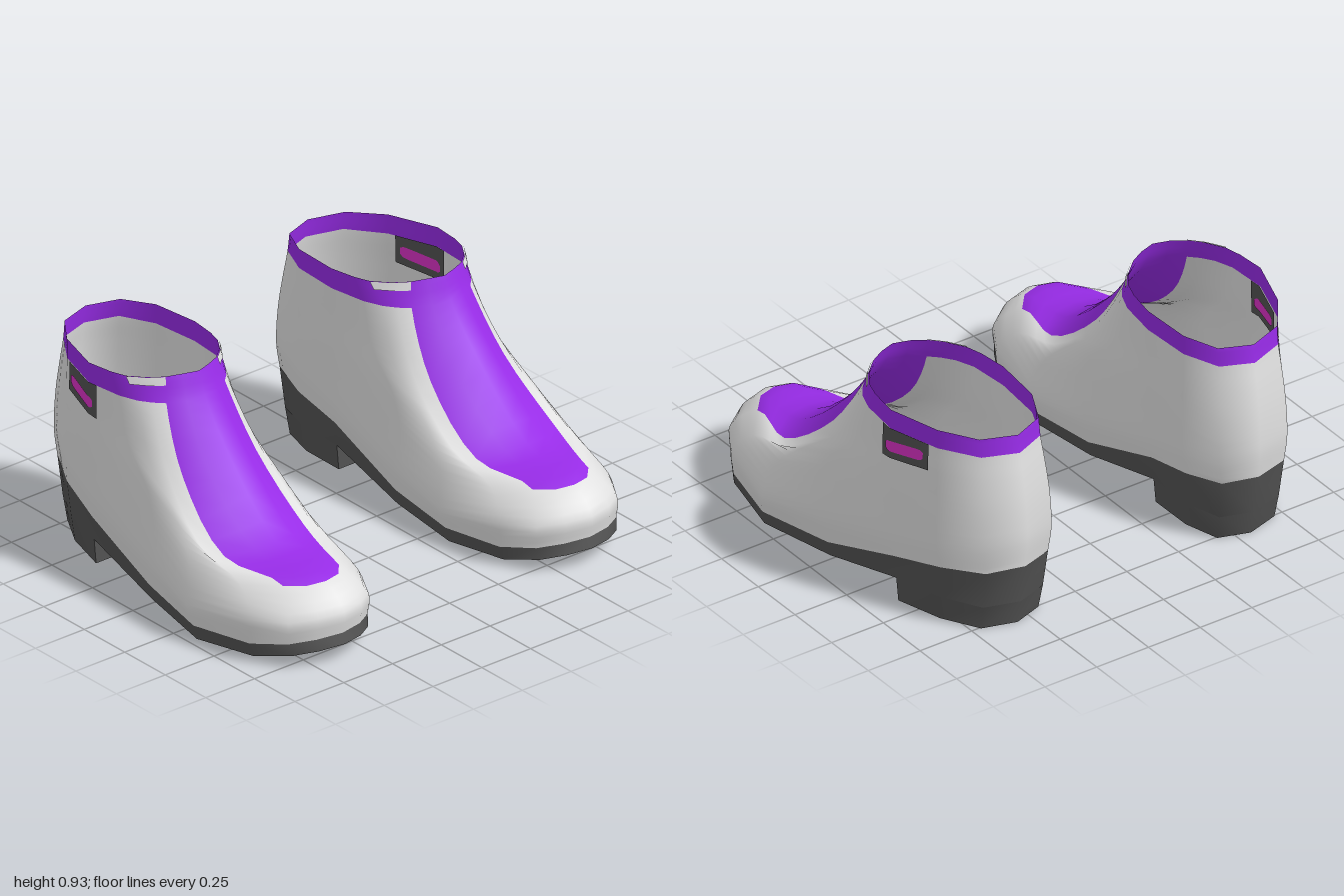
import * as THREE from 'three';

const STEPS = 4;          // rows between two control rings
const N = 18;             // points around a full loop
const HALF = 9;           // index of the heel centre
const HEEL = 6;           // index where the heel block begins

const material = (name, color) => {
  const m = new THREE.MeshStandardMaterial({ color, side: THREE.DoubleSide });
  m.name = name;
  return m;
};

// Piecewise linear lookup
function lookup(table, v) {
  if (v <= table[0][0]) return table[0][1];
  for (let i = 1; i < table.length; i++) {
    const [a, fa] = table[i - 1], [b, fb] = table[i];
    if (v <= b) return fa + (fb - fa) * (v - a) / (b - a);
  }
  return table[table.length - 1][1];
}
const centre = z => lookup([[-0.87, 0.562], [-0.6, 0.597], [-0.4, 0.622], [0, 0.63], [0.33, 0.647], [0.86, 0.635]], z);
const soleTop = z => lookup([[-0.85, 0.29], [-0.6, 0.255], [-0.4, 0.215], [-0.2, 0.15], [0, 0.085], [0.2, 0.068], [0.5, 0.07], [0.7, 0.09], [0.85, 0.125]], z);
const soleBottom = z => lookup([[-0.85, 0.11], [-0.4, 0.11], [-0.2, 0.065], [0, 0.02], [0.13, 0.003], [0.5, 0.01], [0.7, 0.035], [0.87, 0.08]], z);

// Half loops from toe centre to heel centre: half width, height, z
const edge = [[0, 0.855], [0.11, 0.828], [0.205, 0.765], [0.285, 0.63], [0.335, 0.35], [0.285, 0], [0.255, -0.4], [0.222, -0.63], [0.15, -0.805], [0, -0.855]]
  .map(([w, z]) => [w, soleTop(z), z]);
const widest = [[0, 0.22, 0.865], [0.11, 0.215, 0.835], [0.205, 0.2, 0.77], [0.288, 0.19, 0.635], [0.353, 0.16, 0.33],
  [0.298, 0.2, 0], [0.265, 0.3, -0.4], [0.234, 0.35, -0.62], [0.162, 0.38, -0.81], [0, 0.4, -0.866]];
const shoulder = [[0, 0.316, 0.755], [0.08, 0.313, 0.735], [0.143, 0.305, 0.665], [0.25, 0.295, 0.54], [0.315, 0.3, 0.3],
  [0.293, 0.38, 0.03], [0.268, 0.45, -0.4], [0.234, 0.45, -0.62], [0.164, 0.46, -0.808], [0, 0.47, -0.866]];
const instep = [[0, 0.372, 0.455], [0.1, 0.365, 0.445], [0.205, 0.347, 0.385], [0.255, 0.37, 0.3], [0.278, 0.43, 0.18],
  [0.28, 0.5, -0.02], [0.27, 0.58, -0.4], [0.232, 0.58, -0.62], [0.16, 0.58, -0.8], [0, 0.58, -0.858]];
const ankle = [[0, 0.665, 0.13], [0.1, 0.635, 0.12], [0.187, 0.57, 0.095], [0.225, 0.6, 0.03], [0.25, 0.62, -0.05],
  [0.262, 0.65, -0.17], [0.27, 0.7, -0.4], [0.232, 0.7, -0.62], [0.152, 0.7, -0.785], [0, 0.7, -0.842]];
const bandLow = [[0, 0.835, 0], [0.08, 0.83, -0.015], [0.15, 0.825, -0.06], [0.19, 0.825, -0.1], [0.225, 0.825, -0.15],
  [0.255, 0.825, -0.23], [0.272, 0.82, -0.4], [0.228, 0.815, -0.62], [0.143, 0.81, -0.77], [0, 0.805, -0.822]];
const cuff = [[0, 0.93, -0.038], [0.07, 0.93, -0.06], [0.13, 0.925, -0.09], [0.185, 0.92, -0.14], [0.235, 0.915, -0.21],
  [0.256, 0.912, -0.28], [0.272, 0.908, -0.4], [0.228, 0.9, -0.62], [0.143, 0.89, -0.76], [0, 0.885, -0.812]];

// Mirrors a half loop about the foot's centre line
function loop(half) {
  return Array.from({ length: N }, (_, i) => {
    const [w, y, z] = half[Math.min(i, N - i)];
    return new THREE.Vector3(centre(z) + (i <= HALF ? w : -w), y, z);
  });
}

// Skin over rows of points; pick(row, column) gives the material index
function skin(name, rows, side, mats, closed = false, pick = () => 0) {
  const cols = rows[0].length, pos = [];
  for (const row of rows) for (const p of row) pos.push(side * p.x, p.y, p.z);
  const lists = mats.map(() => []);
  for (let r = 0; r < rows.length - 1; r++) {
    for (let i = 0; i < (closed ? cols : cols - 1); i++) {
      const a = r * cols + i, b = r * cols + (i + 1) % cols, c = b + cols, d = a + cols;
      lists[pick(r, i)].push(...(side > 0 ? [a, b, c, a, c, d] : [a, c, b, a, d, c]));
    }
  }
  const g = new THREE.BufferGeometry();
  g.setAttribute('position', new THREE.Float32BufferAttribute(pos, 3));
  g.setIndex(lists.flat());
  let start = 0;
  lists.forEach((l, k) => { g.addGroup(start, l.length, k); start += l.length; });
  g.computeVertexNormals();
  const mesh = new THREE.Mesh(g, mats.length > 1 ? mats : mats[0]);
  mesh.name = name;
  return mesh;
}

function makeBoot(side, mats) {
  const boot = new THREE.Group();
  boot.name = side > 0 ? 'leftBoot' : 'rightBoot';

  // Upper, with the front panel and the cuff band as colour areas
  const rings = [edge, widest, shoulder, instep, ankle, bandLow, cuff].map(loop);
  const rows = Array.from({ length: 6 * STEPS + 1 }, () => []);
  for (let i = 0; i < N; i++) {
    const curve = new THREE.CatmullRomCurve3(rings.map(r => r[i]));
    rows.forEach((row, r) => row.push(curve.getPoint(r / (6 * STEPS))));
  }
  const pick = (r, i) => {
    const onPanel = Math.min(i, N - 1 - i) < 2;
    return r >= (onPanel ? 2 : 5) * STEPS ? 1 : 0;
  };
  boot.add(skin('upper', rows, side, [mats.upper, mats.purple], true, pick));

  // Pale strips on the outside of the cuff, beside the panel
  const outward = p => new THREE.Vector3(p.x + (p.x - 0.62) * 0.02, p.y, p.z + 0.004);
  for (const first of [2, N - 4]) {
    const strip = [rings[5], rings[6]].map(r => r.slice(first, first + 3));
    const low = strip[1].map((p, i) => p.clone().lerp(strip[0][i], 0.32));
    boot.add(skin('cuffStrip', [low.map(outward), strip[1].map(outward)], side, [mats.upper]));
  }

  // Sole wall and underside
  const shrink = (w, k, y) => rings[0].map(p => {
    const z = p.z > 0 ? p.z * 1.015 : p.z < -0.4 ? -0.4 + (p.z + 0.4) * k : p.z;
    return new THREE.Vector3(centre(p.z) + (p.x - centre(p.z)) * w, y(z), z);
  });
  const bottom = shrink(0.96, 0.934, soleBottom);
  const base = shrink(0.92, 0.88, () => 0);
  const across = (ring, from) => {
    const out = [];
    for (let i = from; i <= HALF; i++) out.push([ring[i], ring[(N - i) % N]]);
    return out;
  };
  boot.add(skin('soleWall', [bottom, rings[0]], side, [mats.sole], true));
  boot.add(skin('soleUnderside', across(bottom, 0), side, [mats.sole]));

  // Heel block
  const rear = ring => ring.slice(HEEL, N - HEEL + 1);
  boot.add(skin('heelWall', [rear(base), rear(bottom)], side, [mats.sole]));
  boot.add(skin('heelBase', across(base, HEEL), side, [mats.sole]));
  boot.add(skin('heelFront', [base, bottom].map(r => [r[N - HEEL], r[HEEL]]), side, [mats.sole]));

  // Side tag, following the outer wall on both of its faces
  const wallX = (z, y) => {
    const xAt = row => {
      let i = 4;
      while (row[i + 1].z > z) i++;
      const t = (row[i].z - z) / (row[i].z - row[i + 1].z);
      return row[i].x + (row[i + 1].x - row[i].x) * t;
    };
    return THREE.MathUtils.lerp(xAt(rings[4]), xAt(rings[5]), (y - 0.7) / 0.12);
  };
  const plate = (name, z0, z1, low, high, offset, mat) => {
    const row = f => Array.from({ length: 15 }, (_, i) => {
      const t = i / 14, z = z0 + (z1 - z0) * t, y = f(t);
      return new THREE.Vector3(wallX(z, y) + offset, y, z);
    });
    boot.add(skin(name, [0, 0.5, 1].map(v => row(t => low(t) + (high(t) - low(t)) * v)), side, [mat]));
  };
  const barHalf = t => 0.025 * Math.sqrt(1 - 0.7 * Math.pow(Math.abs(2 * t - 1), 10));
  const barMid = t => 0.737 + 0.021 * t;
  for (const [where, s] of [['outer', 1], ['inner', -1]]) {
    plate(where + 'Tag', -0.35, -0.583, t => 0.678 + 0.022 * t, t => 0.826 - 0.006 * t, 0.006 * s, mats.sole);
    plate(where + 'TagBar', -0.373, -0.56, t => barMid(t) - barHalf(t), t => barMid(t) + barHalf(t), 0.009 * s, mats.magenta);
  }
  return boot;
}

export function createModel() {
  const mats = {
    upper: material('light grey upper', 0xe2e2e2),
    purple: material('purple trim', 0x982ce8),
    sole: material('charcoal sole', 0x535353),
    magenta: material('magenta tag bar', 0xdd32c8),
  };
  const model = new THREE.Group();
  model.name = 'ankleBoots';
  for (const side of [1, -1]) model.add(makeBoot(side, mats));
  return model;
}
